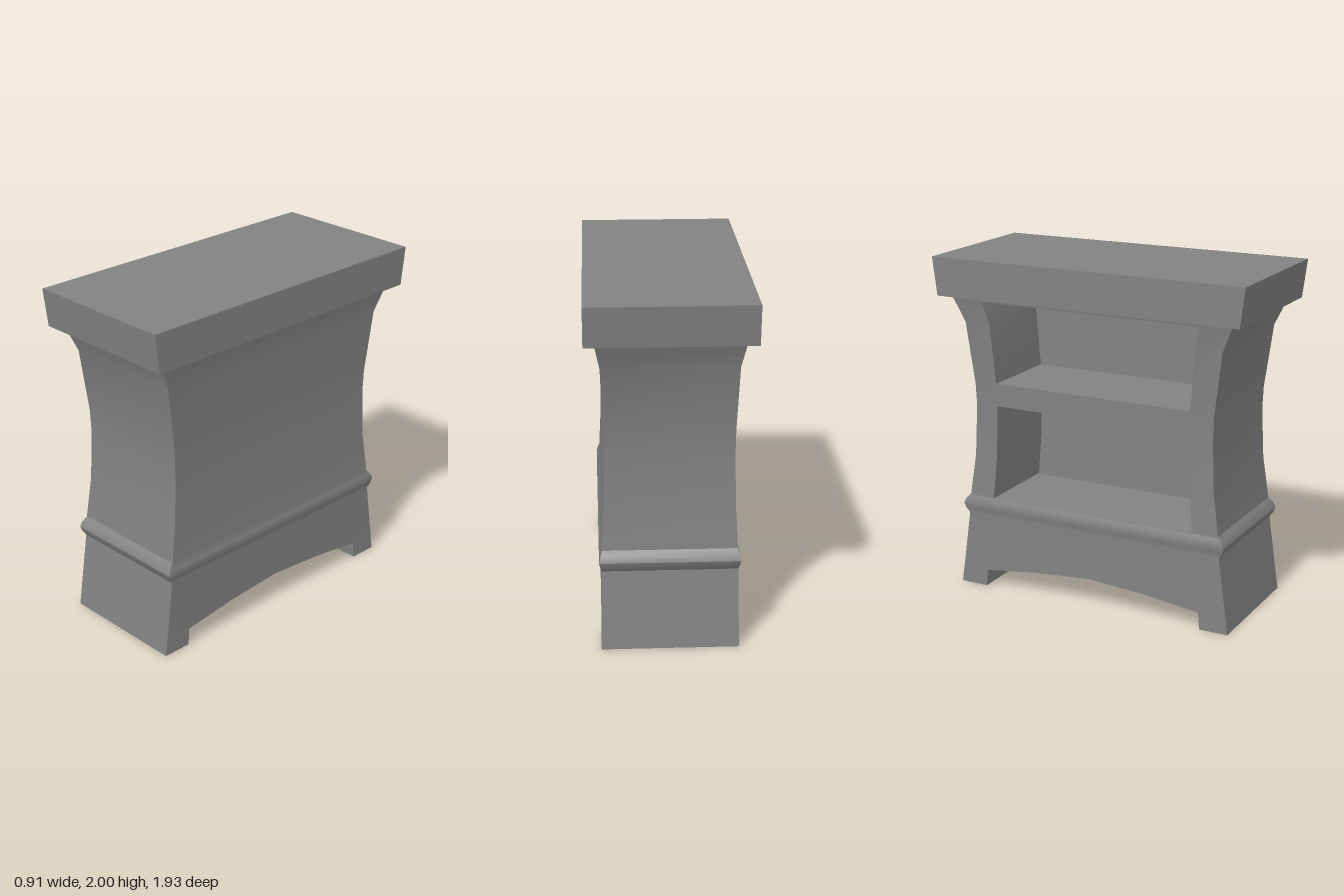
import * as THREE from 'three';
import { toCreasedNormals } from 'three/addons/utils/BufferGeometryUtils.js';

const solid = new THREE.MeshStandardMaterial({ color: 0x828282 });
const sheet = new THREE.MeshStandardMaterial({ color: 0x828282, side: THREE.DoubleSide });

// Body profile: height, half width (x), half length (z)
const PROFILE = [
  [0, 0.383, 0.875], [0.1, 0.381, 0.861], [0.45, 0.376, 0.812], [0.48, 0.384, 0.833], [0.51, 0.39, 0.843],
  [0.54, 0.383, 0.832], [0.57, 0.373, 0.803], [0.82, 0.361, 0.768], [1.12, 0.355, 0.755], [1.25, 0.357, 0.76],
  [1.62, 0.371, 0.808], [1.775, 0.4, 0.877],
];
const TOP = 1.775;
const FOOT = 0.1;
const NICHE_BACK = -0.16;

function profileAt(y, k) {
  let i = 1;
  while (i < PROFILE.length - 1 && PROFILE[i][0] < y) i++;
  const a = PROFILE[i - 1], b = PROFILE[i];
  return THREE.MathUtils.mapLinear(y, a[0], b[0], a[k], b[k]);
}
const halfW = (y) => profileAt(y, 1);
const halfL = (y) => profileAt(y, 2);
// Half length of the shelf openings, following the body's waist more gently
const innerL = (y) => 0.615 + 0.6 * (halfL(y) - 0.755);
const levels = (a, b) => [a, ...PROFILE.map((p) => p[0]).filter((y) => y > a + 0.005 && y < b - 0.005), b];

// Surface through a grid of points; columns run right and rows run up as seen from its front
function patch(name, cols, rows, point, crease) {
  const pos = [], index = [], n = cols.length;
  rows.forEach((r) => cols.forEach((c) => pos.push(...point(c, r))));
  for (let j = 0; j < rows.length - 1; j++) {
    for (let i = 0; i < n - 1; i++) {
      const a = j * n + i, b = a + 1, c = a + n, d = c + 1;
      index.push(a, b, d, a, d, c);
    }
  }
  let geo = new THREE.BufferGeometry();
  geo.setAttribute('position', new THREE.Float32BufferAttribute(pos, 3));
  geo.setIndex(index);
  geo.computeVertexNormals();
  if (crease) geo = toCreasedNormals(geo, crease);
  const mesh = new THREE.Mesh(geo, sheet);
  mesh.name = name;
  return mesh;
}

// Box whose corners are placed by a rule taking signs (-1 or 1)
function warpedBox(name, corner) {
  const geo = new THREE.BoxGeometry(2, 2, 2);
  const p = geo.attributes.position;
  for (let i = 0; i < p.count; i++) p.setXYZ(i, ...corner(p.getX(i), p.getY(i), p.getZ(i)));
  geo.computeVertexNormals();
  const mesh = new THREE.Mesh(geo, solid);
  mesh.name = name;
  return mesh;
}

// Side panel with an arched lower edge, rising to the given height
function archedPanel(name, top) {
  const arch = [[1, FOOT], [0.81, FOOT], [0.42, 0.144], [0, 0.171], [-0.42, 0.144], [-0.81, FOOT], [-1, FOOT]];
  return patch(name, arch, levels(FOOT, top), ([u, low], r) => {
    const y = r === FOOT ? low : r;
    return [halfW(y), y, u * halfL(y)];
  });
}

// Open recess: two curved walls, floor, ceiling and back
function niche(name, y0, y1) {
  const g = new THREE.Group();
  g.name = name;
  const ys = levels(y0, y1);
  const depth = (t, y) => THREE.MathUtils.lerp(NICHE_BACK, halfW(y), t);
  g.add(
    patch('nicheWall', [1, 0], ys, (t, y) => [depth(t, y), y, innerL(y)]),
    patch('nicheWall', [0, 1], ys, (t, y) => [depth(t, y), y, -innerL(y)]),
    patch('nicheFloor', [-1, 1], [0, 1], (u, t) => [depth(t, y0), y0, u * innerL(y0)]),
    patch('nicheCeiling', [1, -1], [0, 1], (u, t) => [depth(t, y1), y1, u * innerL(y1)]),
    patch('nicheBack', [1, -1], ys, (u, y) => [NICHE_BACK, y, u * innerL(y)]),
  );
  return g;
}

// Shelf side, built facing +x
function shelfSide() {
  const g = new THREE.Group();
  g.name = 'shelfSide';
  const sill = 0.56, shelfLow = 1.13, shelfHigh = 1.265, head = 1.75;
  g.add(archedPanel('shelfBasePanel', sill));
  const ys = levels(sill, TOP);
  const along = (t, y) => THREE.MathUtils.lerp(innerL(y), halfL(y), t);
  g.add(
    patch('stile', [1, 0], ys, (t, y) => [halfW(y), y, along(t, y)]),
    patch('stile', [0, 1], ys, (t, y) => [halfW(y), y, -along(t, y)]),
  );
  for (const [a, b] of [[shelfLow, shelfHigh], [head, TOP]]) {
    g.add(patch('rail', [1, -1], levels(a, b), (u, y) => [halfW(y), y, u * innerL(y)]));
  }
  g.add(niche('lowerNiche', sill, shelfLow), niche('upperNiche', shelfHigh, head));
  return g;
}

// End wall with the rounded moulding band, and its foot, built facing +z
function endSide(name) {
  const g = new THREE.Group();
  g.name = name;
  g.add(patch('endWall', [-1, 1], levels(FOOT, TOP), (u, y) => [u * halfW(y), y, halfL(y)], 0.5));
  g.add(warpedBox('foot', (sx, sy, sz) => {
    const y = sy > 0 ? FOOT : 0;
    return [sx * halfW(y), y, sz > 0 ? halfL(y) : (sy > 0 ? 0.694 : 0.703)];
  }));
  return g;
}

export function createModel() {
  const model = new THREE.Group();
  model.name = 'bookcase';

  model.add(archedPanel('closedSidePanel', TOP));

  const shelves = shelfSide();
  shelves.rotation.y = Math.PI;
  model.add(shelves);

  const back = endSide('backEnd');
  back.rotation.y = Math.PI;
  model.add(endSide('frontEnd'), back);

  // Top slab, flaring slightly lengthways
  model.add(warpedBox('topSlab', (sx, sy, sz) => [sx * 0.457, sy > 0 ? 2 : TOP, sz * (sy > 0 ? 0.967 : 0.938)]));

  return model;
}
